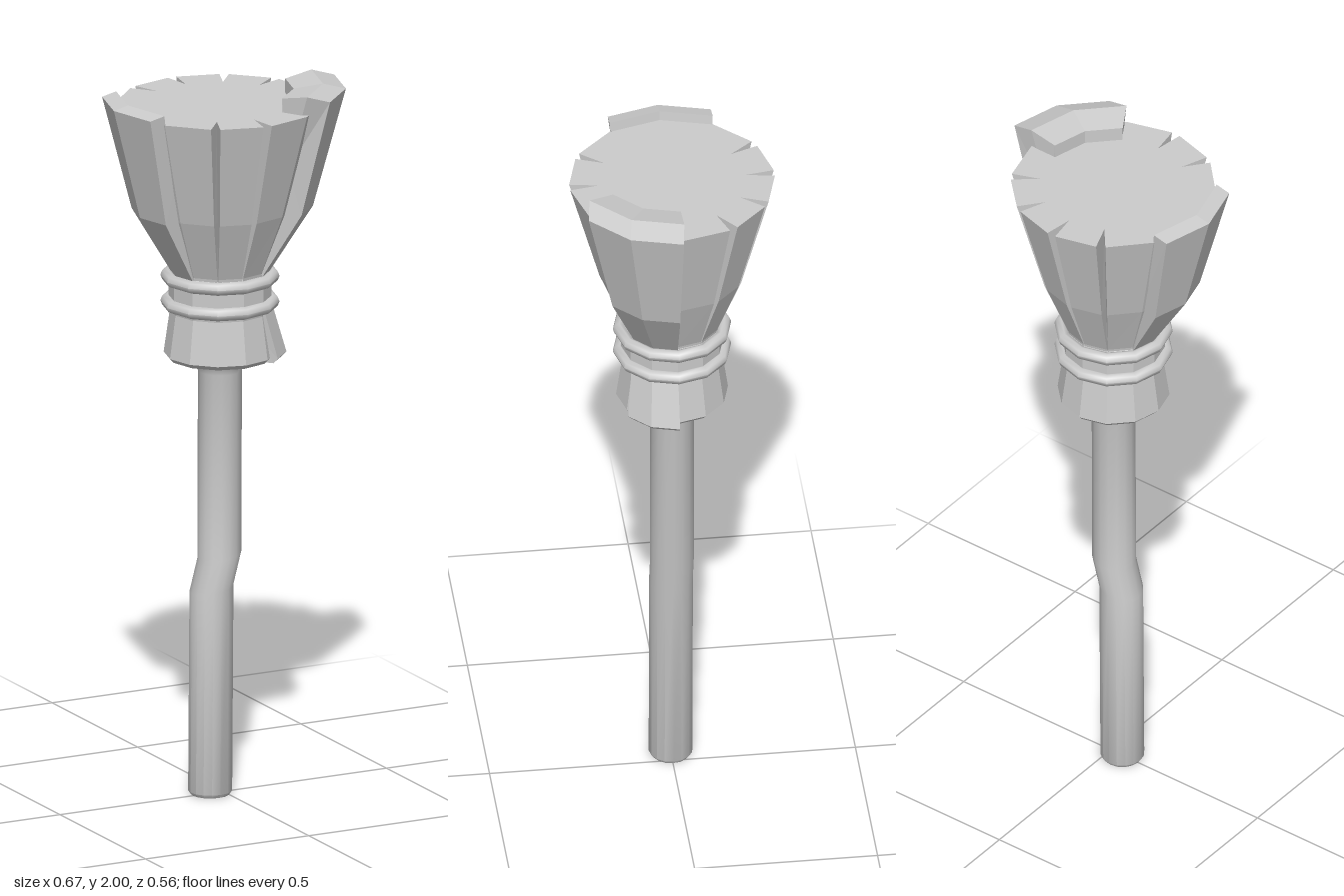
import * as THREE from 'three';
import { toCreasedNormals } from 'three/addons/utils/BufferGeometryUtils.js';

const AXIS = -0.01; // x of the broom's centre line
const rad = THREE.MathUtils.degToRad;
const flat = new THREE.MeshStandardMaterial({ color: 0xcccccc, flatShading: true });
const smooth = new THREE.MeshStandardMaterial({ color: 0xcccccc });

// Skins equal-length closed loops and closes both ends with a fan.
function loft(loops) {
  const pos = [];
  const tri = (a, b, c) => pos.push(...a, ...b, ...c);
  const n = loops[0].length;
  for (let i = 0; i < loops.length - 1; i++) {
    for (let j = 0; j < n; j++) {
      const k = (j + 1) % n;
      const [a, b, c, d] = [loops[i][j], loops[i][k], loops[i + 1][j], loops[i + 1][k]];
      tri(a, c, b);
      tri(b, c, d);
    }
  }
  const cap = (loop, end) => {
    const mid = [0, 1, 2].map((m) => loop.reduce((s, p) => s + p[m], 0) / n);
    loop.forEach((p, j) => {
      const q = loop[(j + 1) % n];
      if (end) tri(mid, q, p);
      else tri(mid, p, q);
    });
  };
  cap(loops[0], false);
  cap(loops[loops.length - 1], true);
  const geo = new THREE.BufferGeometry();
  geo.setAttribute('position', new THREE.Float32BufferAttribute(pos, 3));
  geo.computeVertexNormals();
  return geo;
}

// Sweeps a [radius, y, outward shift] profile over 60 degrees in two facets.
function plate(profile, startDeg, dirX, dirZ) {
  return loft([0, 30, 60].map((d) => {
    const a = rad(startDeg + d);
    return profile.map(([r, y, s]) => [
      AXIS + r * Math.cos(a) + s * dirX, y, r * Math.sin(a) + s * dirZ]);
  }));
}

// Twelve-sided bristle bundle with V grooves cut along some of its corners.
function bristleGeometry() {
  const grooved = [90, 120, 240, 270, 300, 330];
  // y, radius, groove depth, half groove width in degrees
  const levels = [[1.45, 0.128, 0, 0], [1.48, 0.133, 0.004, 0.6], [1.65, 0.2, 0.04, 2.2], [1.945, 0.28, 0.08, 2.6]];
  return loft(levels.map(([y, r, depth, half]) => {
    const loop = [];
    const add = (deg, rr) => loop.push([AXIS + rr * Math.cos(rad(deg)), y, rr * Math.sin(rad(deg))]);
    for (let deg = 0; deg < 360; deg += 30) {
      if (grooved.includes(deg)) {
        add(deg - half, r);
        add(deg, r - depth);
        add(deg + half, r);
      } else add(deg, r);
    }
    return loop;
  }));
}

// Round stick with a kink, flared where it meets the collar.
function handleGeometry() {
  // y, centre x, radius, tilt of the section
  const levels = [
    [0, -0.04, 0.053, 0], [0.01, -0.04, 0.06, 0], [0.58, -0.036, 0.06, 0.16], [0.67, -0.012, 0.06, 0.16],
    [1.19, AXIS, 0.06, 0], [1.215, AXIS, 0.067, 0], [1.228, AXIS, 0.078, 0], [1.238, AXIS, 0.095, 0],
  ];
  const geo = loft(levels.map(([y, x, r, tilt]) => Array.from({ length: 16 }, (_, i) => {
    const a = (i / 16) * Math.PI * 2;
    return [x + r * Math.cos(a), y + tilt * r * Math.cos(a), r * Math.sin(a)];
  })));
  return toCreasedNormals(geo, rad(35));
}

export function createModel() {
  const group = new THREE.Group();
  const add = (name, geo, mat, x = 0, y = 0) => {
    const mesh = new THREE.Mesh(geo, mat);
    mesh.name = name;
    mesh.position.set(x, y, 0);
    group.add(mesh);
    return mesh;
  };

  add('handle', handleGeometry(), smooth);
  add('bristles', bristleGeometry(), flat);

  // Bristle clumps standing proud of the bundle
  add('leftBristleClump', plate([
    [0.28, 2.0, 0], [0.28, 1.98, 0.065], [0.2, 1.65, 0.055], [0.13, 1.47, 0.005],
    [0.1, 1.47, 0], [0.2, 1.94, 0], [0.2, 1.985, 0],
  ], 0, 1, 0.15), flat);
  add('rightBristleClump', plate([
    [0.282, 1.972, 0], [0.282, 1.962, 0.043], [0.2, 1.65, 0.045], [0.13, 1.47, 0.005],
    [0.1, 1.47, 0], [0.278, 1.943, 0],
  ], 150, -1, 0), flat);

  // Collar below the bindings, with one bent-out flap
  const collar = [[0, 1.228], [0.142, 1.228], [0.153, 1.24], [0.136, 1.36], [0.14, 1.385],
    [0.14, 1.455], [0.128, 1.48], [0, 1.48]].map(([r, y]) => new THREE.Vector2(r, y));
  add('collar', new THREE.LatheGeometry(collar, 12), flat, AXIS);
  add('collarFlap', plate([
    [0.138, 1.375, 0.005], [0.153, 1.24, 0.031], [0.142, 1.226, 0.028], [0.09, 1.23, 0], [0.09, 1.375, 0],
  ], 0, 1, 0), flat);

  // Cord bindings
  for (const [name, y] of [['lowerBinding', 1.385], ['upperBinding', 1.457]]) {
    const ring = new THREE.TorusGeometry(0.144, 0.018, 8, 12);
    add(name, toCreasedNormals(ring, rad(50)), smooth, AXIS, y).rotation.x = Math.PI / 2;
  }
  return group;
}
